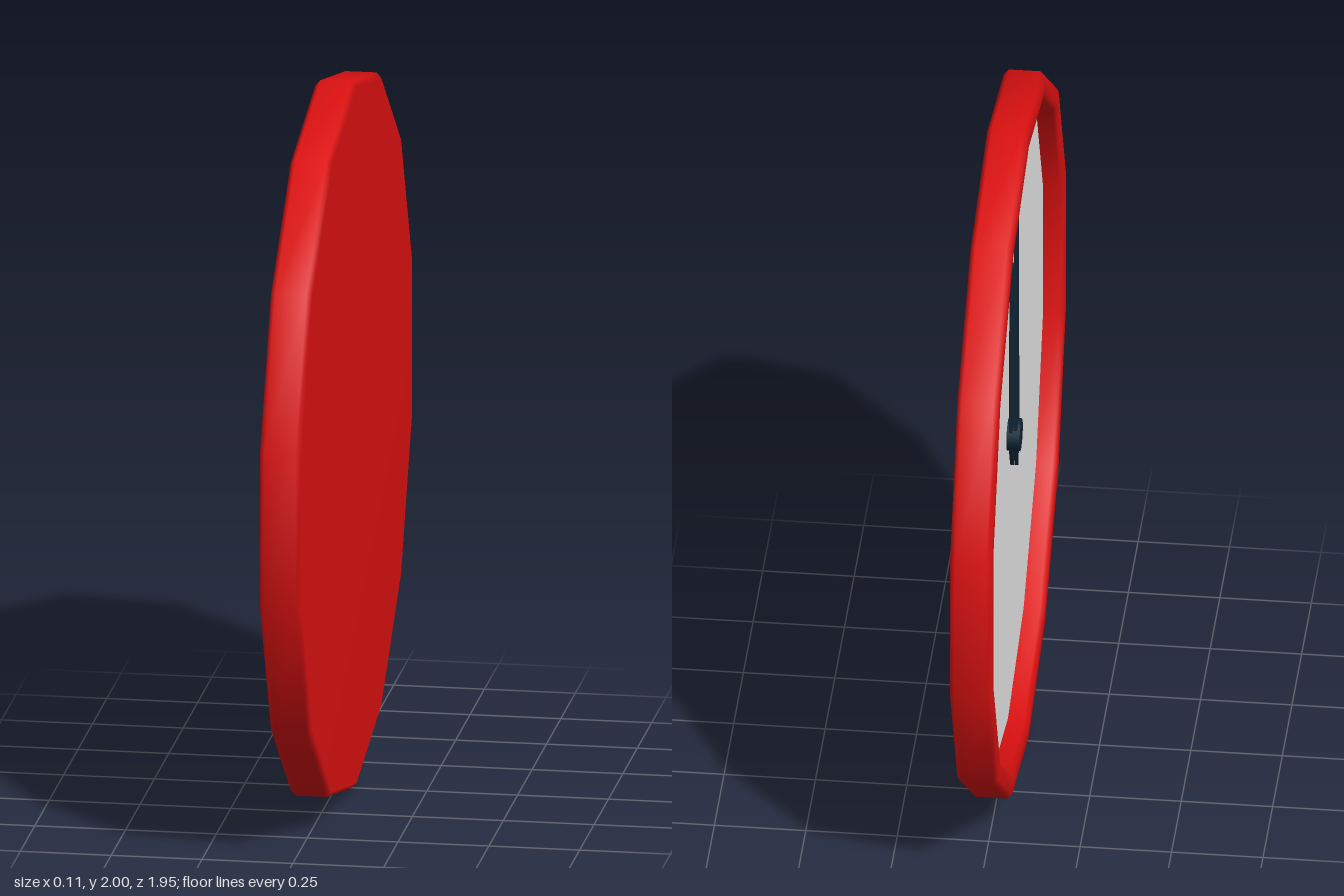
import * as THREE from 'three';

const SIDES = 14;

export function createModel() {
  const group = new THREE.Group();
  const red = new THREE.MeshStandardMaterial({ color: 0xdd1111 });
  red.name = 'casingRed';
  const white = new THREE.MeshStandardMaterial({ color: 0xeeeeee });
  white.name = 'dialWhite';
  const navy = new THREE.MeshStandardMaterial({ color: 0x102535 });
  navy.name = 'handNavy';

  const add = (name, geometry, material, x) => {
    const mesh = new THREE.Mesh(geometry, material);
    mesh.name = name;
    mesh.position.set(x, 1, 0);
    group.add(mesh);
  };

  // Casing: recess wall, rounded rim and closed back in one smooth profile
  const profile = [
    [0.93, 0.005], [0.93, -0.045], [0.943, -0.057], [0.985, -0.057],
    [1, -0.043], [1, 0.043], [0.985, 0.057], [0, 0.057],
  ].map(([r, y]) => new THREE.Vector2(r, y));
  const casing = new THREE.LatheGeometry(profile, SIDES, Math.PI / 2);
  casing.rotateZ(-Math.PI / 2);
  add('casing', casing, red, 0);

  // Dial: flat polygon set inside the rim, facing -x
  const dial = new THREE.CircleGeometry(0.932, SIDES, Math.PI / 2);
  dial.rotateY(-Math.PI / 2);
  add('dial', dial, white, 0);

  // Hands: tapered blades with a pointed tail, both at twelve
  const hand = (name, length, base, tip, x) => {
    const shape = new THREE.Shape([
      [0, -0.1], [base, -0.03], [base, 0.03], [tip, length],
      [-tip, length], [-base, 0.03], [-base, -0.03],
    ].map(([u, v]) => new THREE.Vector2(u, v)));
    const blade = new THREE.ExtrudeGeometry(shape, { depth: 0.01, bevelEnabled: false });
    blade.rotateY(-Math.PI / 2);
    add(name, blade, navy, x);
  };
  hand('hourHand', 0.55, 0.035, 0.018, -0.006);
  hand('minuteHand', 0.9, 0.03, 0.014, -0.018);

  // Hub holding the hands
  const hub = new THREE.CylinderGeometry(0.045, 0.045, 0.036, 12);
  hub.rotateZ(Math.PI / 2);
  add('hub', hub, navy, -0.018);

  return group;
}
